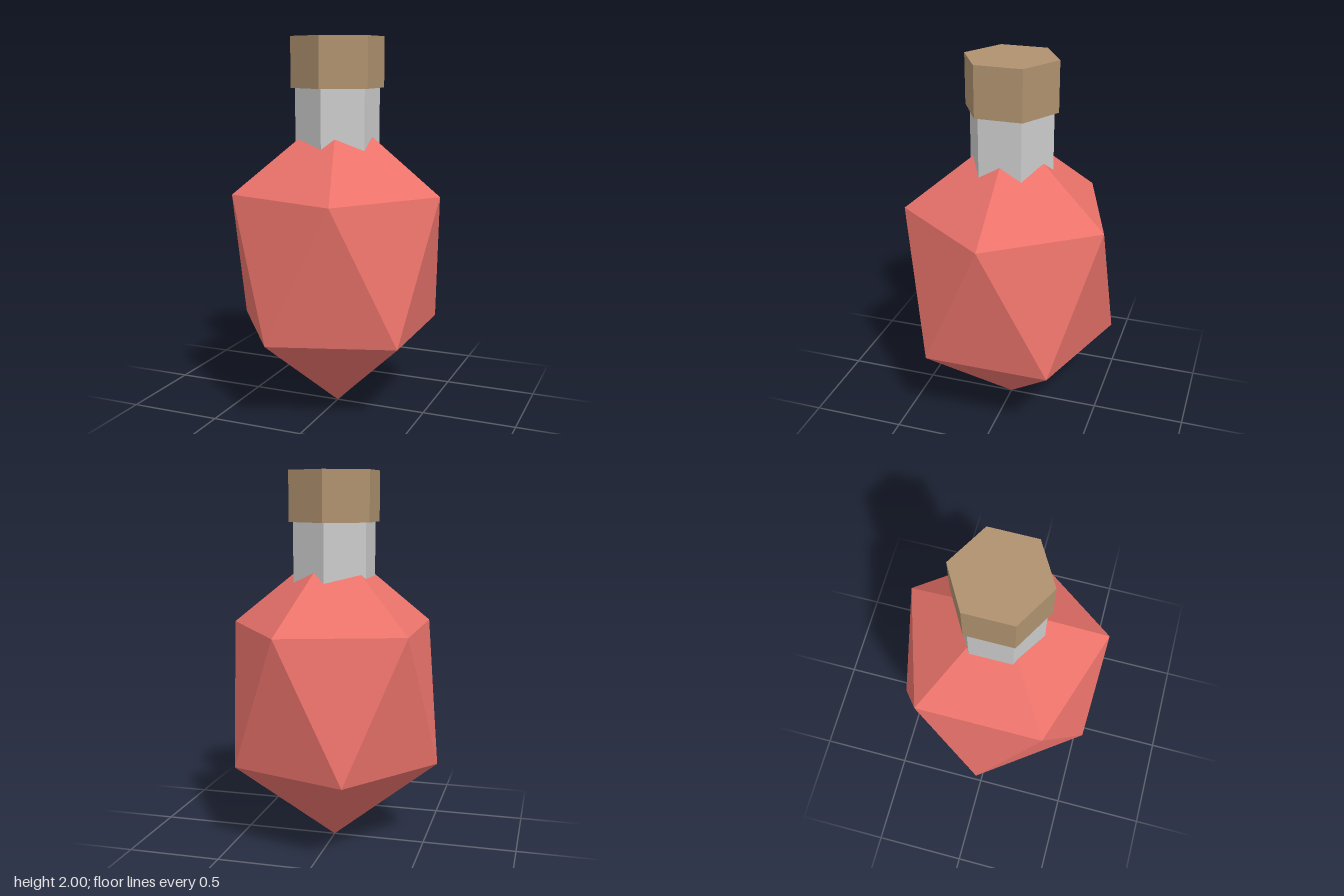
import * as THREE from 'three';

function addPart(group, name, geometry, color) {
  const material = new THREE.MeshStandardMaterial({ color, flatShading: true });
  const mesh = new THREE.Mesh(geometry, material);
  mesh.name = name;
  group.add(mesh);
  return mesh;
}

// Six-sided upright prism with corners on the z axis
function hexPrism(radius, bottom, top) {
  return new THREE.CylinderGeometry(radius, radius, top - bottom, 6)
    .translate(0, (bottom + top) / 2, 0);
}

export function createModel() {
  const group = new THREE.Group();
  group.name = 'potionBottle';

  // Faceted body: icosahedron balanced on one corner, stretched upwards
  const body = new THREE.IcosahedronGeometry(1, 0);
  body.rotateZ(-Math.atan(2 / (1 + Math.sqrt(5))));
  body.scale(0.635, 0.818, 0.635).translate(0, 0.821, 0);
  body.computeVertexNormals();
  addPart(group, 'body', body, 0xeb736b);

  // Neck rising out of the body
  addPart(group, 'neck', hexPrism(0.225, 1.36, 1.74), 0xcccccc);

  // Wooden stopper
  addPart(group, 'stopper', hexPrism(0.248, 1.735, 2), 0xaf926f);

  return group;
}
